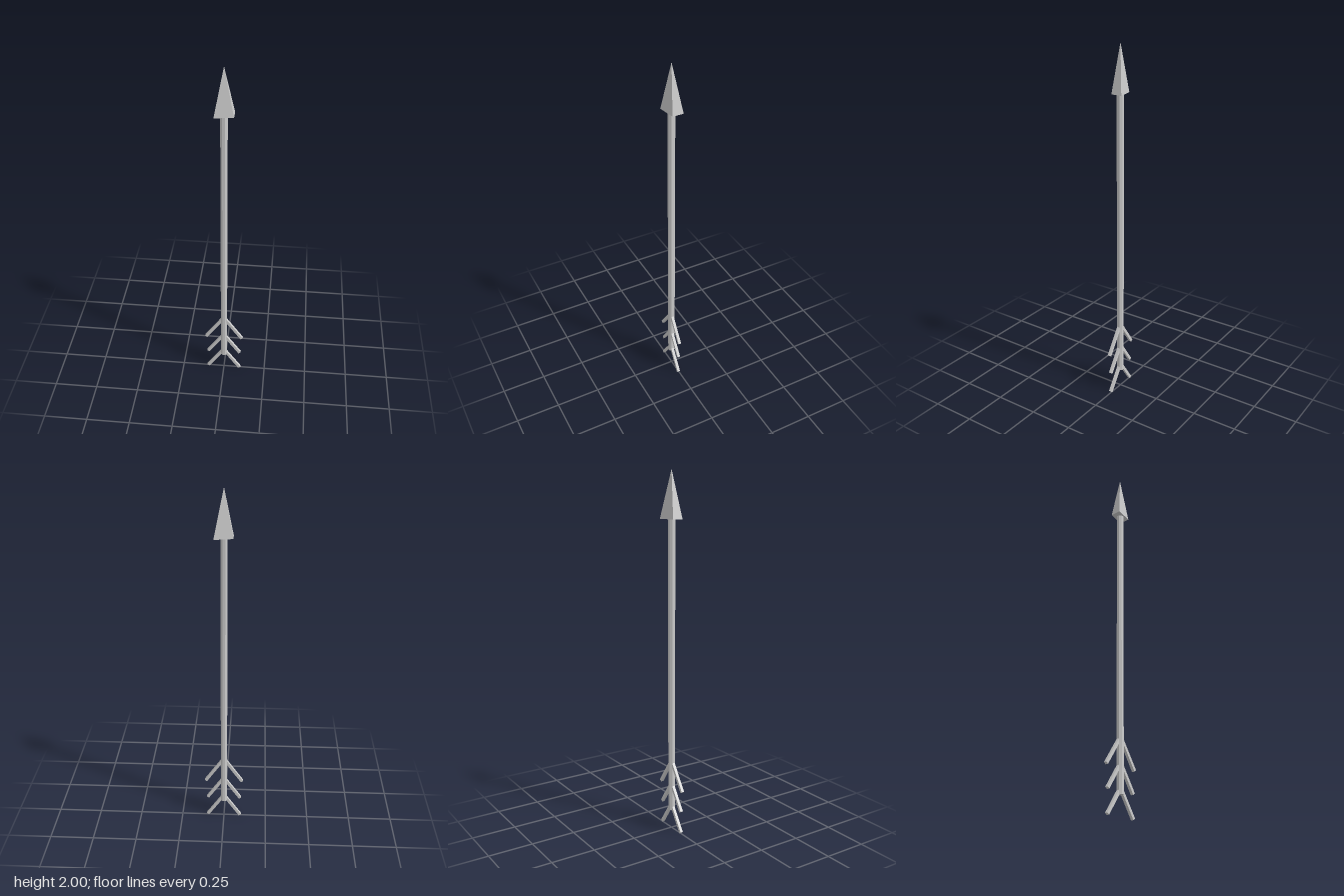
import * as THREE from 'three';

const material = new THREE.MeshStandardMaterial({ color: 0xcccccc, flatShading: true });

function addMesh(parent, geometry, name) {
  const mesh = new THREE.Mesh(geometry, material);
  mesh.name = name;
  parent.add(mesh);
  return mesh;
}

// Four-sided point on a skewed base
function headGeometry(baseY, tipY) {
  const base = [[-0.048, 0.037], [0.051, 0.021], [0.051, -0.04], [-0.048, -0.022]]
    .map(([x, z]) => [x, baseY, z]);
  const tip = [0, tipY, 0];
  const points = [];
  base.forEach((corner, i) => points.push(corner, base[(i + 1) % 4], tip));
  points.push(base[0], base[2], base[1], base[0], base[3], base[2]);
  const geometry = new THREE.BufferGeometry();
  geometry.setAttribute('position', new THREE.Float32BufferAttribute(points.flat(), 3));
  geometry.computeVertexNormals();
  return geometry;
}

export function createModel() {
  const arrow = new THREE.Group();
  arrow.name = 'arrow';

  // Shaft
  const shaftBottom = 0.113, shaftTop = 1.745;
  const shaft = addMesh(arrow,
    new THREE.CylinderGeometry(0.0195, 0.0195, shaftTop - shaftBottom, 8), 'shaft');
  shaft.geometry.rotateY(Math.PI / 8);
  shaft.position.set(0, (shaftBottom + shaftTop) / 2, 0.001);

  // Head
  addMesh(arrow, headGeometry(shaftTop, 2), 'head');

  // Three pairs of swept-back fletching bars: outer tip x and y
  const tips = [[0.107, 0.252], [0.096, 0.131], [0.096, 0.005]];
  for (const side of [-1, 1]) {
    const name = side > 0 ? 'leftFletching' : 'rightFletching';
    for (const [x, y] of tips) {
      const innerX = 0.01;
      const dx = x - innerX, dy = dx * 1.47;
      const bar = addMesh(arrow, new THREE.BoxGeometry(0.016, Math.hypot(dx, dy), 0.016), name);
      bar.position.set(side * (x + innerX) / 2, y + dy / 2, side > 0 ? 0.003 : 0.001);
      bar.rotation.z = side * Math.atan2(dx, dy);
    }
  }
  return arrow;
}
